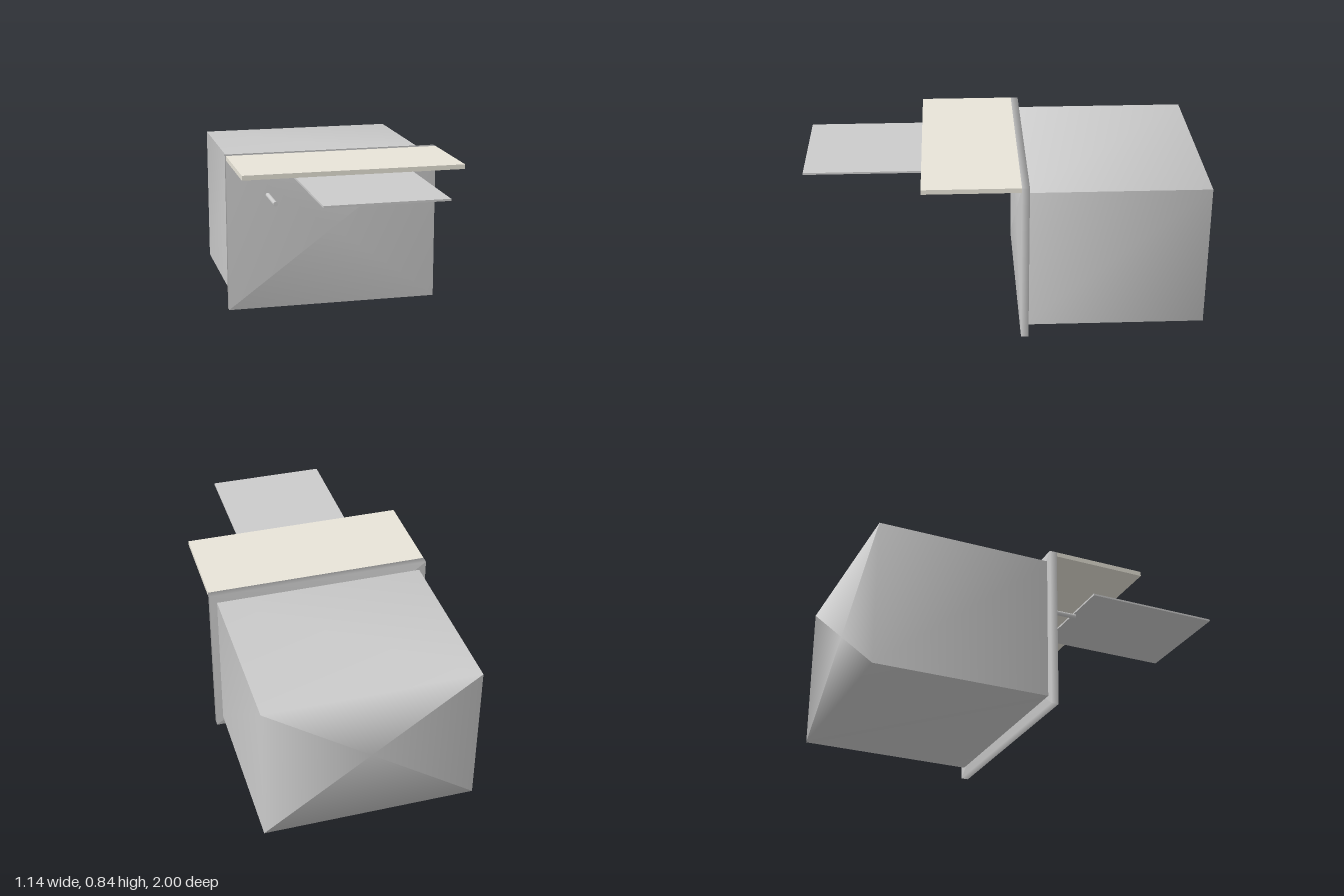
import * as THREE from 'three';
import { mergeGeometries } from 'three/addons/utils/BufferGeometryUtils.js';

const grey = new THREE.MeshStandardMaterial({ color: 0xcccccc });
const cream = new THREE.MeshStandardMaterial({ color: 0xe8e4d8 });

// Box made of four strips that each run from the front centre over one side
// to the back centre, with normals smoothed along the strip.
function softBox(w, h, d) {
  const r = Math.SQRT1_2;
  const profile = [[0, -0.5], [r, -0.5], [r, 0.5], [0, 0.5]].map(([x, y]) => new THREE.Vector2(x, y));
  const strips = [];
  for (let i = 0; i < 4; i++) {
    const strip = new THREE.LatheGeometry(profile, 1, Math.PI / 4 + (i * Math.PI) / 2, Math.PI / 2);
    strip.rotateX(Math.PI / 2).scale(w, h, d);
    strip.computeVertexNormals();
    strips.push(strip);
  }
  return mergeGeometries(strips);
}

export function createModel() {
  const group = new THREE.Group();

  // Adds a part centred on x between the given y and z limits
  function add(name, makeGeometry, w, [y0, y1], [z0, z1], material = grey) {
    const mesh = new THREE.Mesh(makeGeometry(w, y1 - y0, z1 - z0), material);
    mesh.position.set(0, (y0 + y1) / 2, (z0 + z1) / 2);
    mesh.name = name;
    group.add(mesh);
    return mesh;
  }
  const plainBox = (w, h, d) => new THREE.BoxGeometry(w, h, d);
  const rodShape = (w, h, d) => new THREE.CylinderGeometry(w / 2, w / 2, d, 24).rotateX(Math.PI / 2);

  // Housing and the wider panel on its front
  add('housing', softBox, 1.066, [0.05, 0.795], [-1, -0.08]);
  add('frontPanel', softBox, 1.136, [0, 0.838], [-0.108, -0.07]);

  // Canopy over the front, and the separate tray ahead of it
  add('canopy', plainBox, 1.136, [0.814, 0.838], [-0.07, 0.415], cream);
  add('tray', plainBox, 0.6, [0.802, 0.812], [0.28, 1]);

  // Rod sticking out of the panel
  add('rod', rodShape, 0.024, [0.607, 0.631], [-0.08, 0.14]).position.x = -0.35;

  return group;
}
